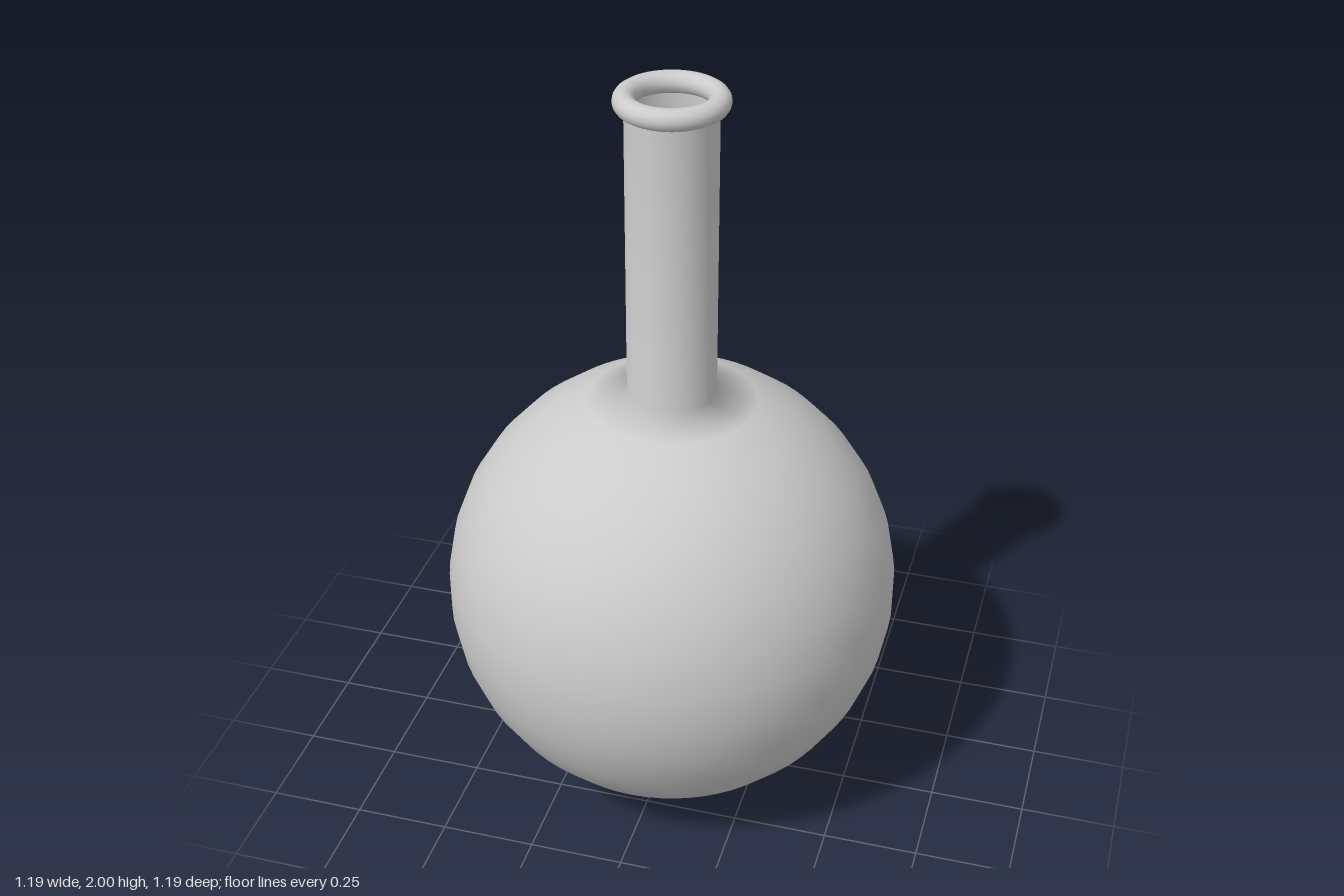
import * as THREE from 'three';

const BULB_RADIUS = 0.598;
const NECK_RADIUS = 0.115;
const LIP_RADIUS = 0.0275;
const HEIGHT = 2;

export function createModel() {
  const group = new THREE.Group();
  group.name = 'roundFlask';
  const material = new THREE.MeshStandardMaterial({ color: 0xcccccc, side: THREE.DoubleSide });

  // Hollow bulb running straight into the neck, as one thin revolved wall
  const profile = [];
  const steps = 16;
  const sweep = Math.PI - Math.asin(NECK_RADIUS / BULB_RADIUS);
  for (let i = 0; i <= steps; i++) {
    const a = (sweep * i) / steps;
    profile.push(new THREE.Vector2(BULB_RADIUS * Math.sin(a), BULB_RADIUS * (1 - Math.cos(a))));
  }
  profile.push(new THREE.Vector2(NECK_RADIUS, HEIGHT - LIP_RADIUS));
  const body = new THREE.Mesh(new THREE.LatheGeometry(profile, 64), material);
  body.name = 'bulbAndNeck';
  group.add(body);

  // Rounded ring around the mouth
  const lip = new THREE.Mesh(new THREE.TorusGeometry(NECK_RADIUS, LIP_RADIUS, 16, 64), material);
  lip.name = 'lip';
  lip.rotation.x = Math.PI / 2;
  lip.position.y = HEIGHT - LIP_RADIUS;
  group.add(lip);

  return group;
}
